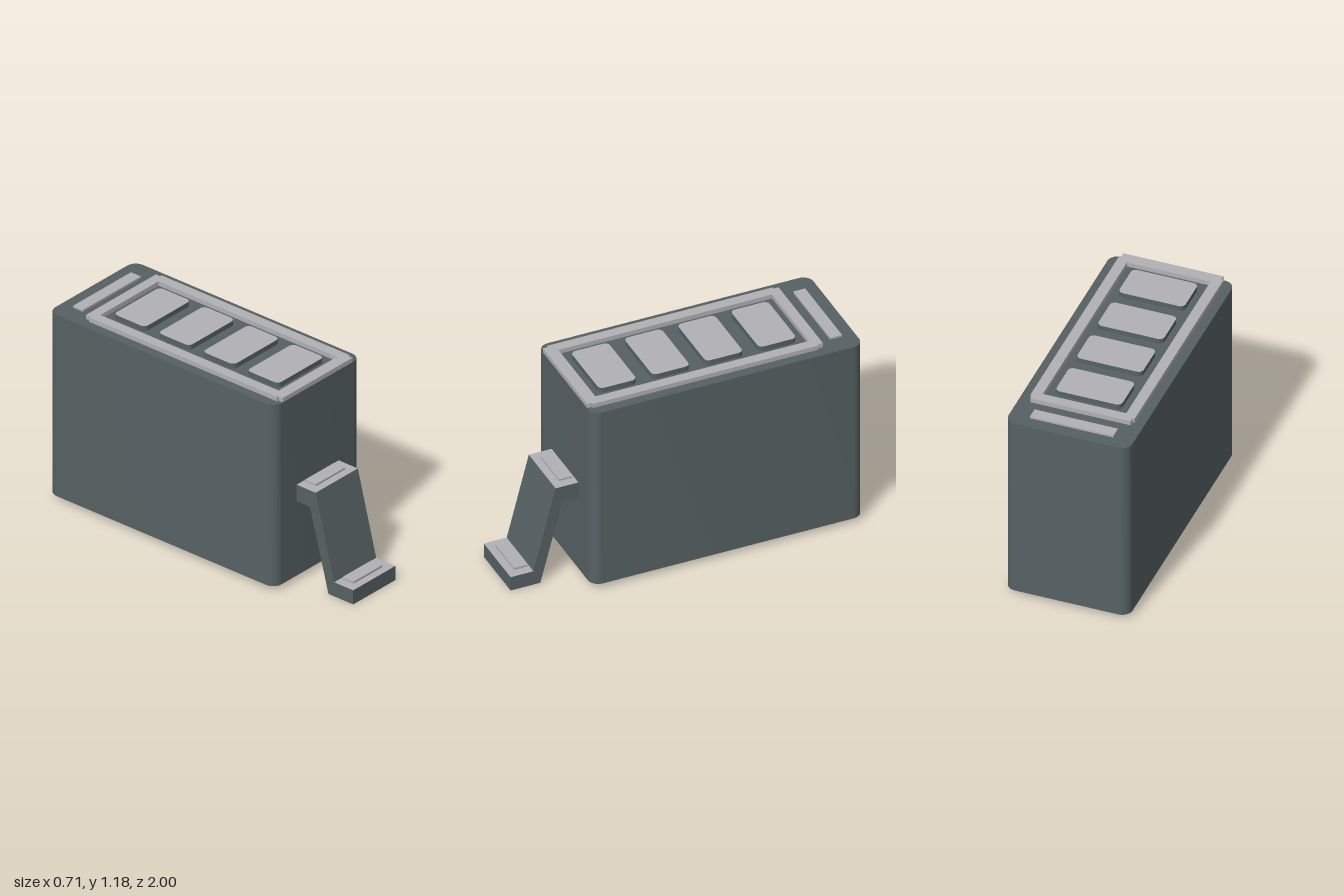
import * as THREE from 'three';
import { toCreasedNormals } from 'three/addons/utils/BufferGeometryUtils.js';

const casing = new THREE.MeshStandardMaterial({ name: 'dark slate', color: 0x566163 });
const metal = new THREE.MeshStandardMaterial({ name: 'light grey', color: 0xb1b1b5 });

// Rectangle outline in plan; its y axis becomes -z
function roundedRect(hw, z0, z1, r) {
  const s = new THREE.Shape(), b = -z1, t = -z0, q = Math.PI / 2;
  s.absarc(hw - r, t - r, r, 0, q);
  s.absarc(-hw + r, t - r, r, q, 2 * q);
  s.absarc(-hw + r, b + r, r, 2 * q, 3 * q);
  s.absarc(hw - r, b + r, r, 3 * q, 4 * q);
  s.closePath();
  return s;
}

// Upright slab between two heights
function slab(shape, y0, y1) {
  const g = new THREE.ExtrudeGeometry(shape, { depth: y1 - y0, bevelEnabled: false, curveSegments: 8 });
  g.rotateX(-Math.PI / 2).translate(0, y0, 0);
  return toCreasedNormals(g, 0.6);
}

// Level faces use material 1, all others material 0
function splitLevelFaces(g) {
  g.clearGroups();
  const n = g.attributes.normal;
  for (let i = 0; i < n.count; i += 3) g.addGroup(i, 3, Math.abs(n.getY(i)) > 0.9 ? 1 : 0);
  return g;
}

export function createModel() {
  const model = new THREE.Group();
  model.name = 'module';
  const add = (name, geometry, material) => {
    const m = new THREE.Mesh(geometry, material);
    m.name = name;
    model.add(m);
    return m;
  };
  const plate = (name, hw, z0, z1, y0, y1) => {
    const g = new THREE.BoxGeometry(hw * 2, y1 - y0, z1 - z0);
    add(name, g.translate(0, (y0 + y1) / 2, (z0 + z1) / 2), metal);
  };

  // Main casing with rounded upright edges
  add('body', slab(roundedRect(0.357, -1, 0.6, 0.06), 0.03, 1.15), casing);

  // Raised frame with slightly notched corners
  const a = 0.288, b = 0.3, f = -0.6, k = 0.79, d = 0.03;
  const rim = new THREE.Shape([
    [-a, f], [a, f], [a, f + d], [b, f + d], [b, k - d], [a, k - d],
    [a, k], [-a, k], [-a, k - d], [-b, k - d], [-b, f + d], [-a, f + d],
  ].map(([x, y]) => new THREE.Vector2(x, y)));
  rim.holes.push(new THREE.Path([
    [-0.24, -0.53], [-0.24, 0.73], [0.24, 0.73], [0.24, -0.53],
  ].map(([x, y]) => new THREE.Vector2(x, y))));
  add('topFrame', slab(rim, 1.15, 1.177), metal);

  // Four contact pads inside the frame
  for (let i = 0; i < 4; i++) {
    const z = -0.57 + i * 0.314;
    const g = splitLevelFaces(slab(roundedRect(0.19, z - 0.111, z + 0.111, 0.03), 1.15, 1.18));
    add('contactPad' + (i + 1), g, [casing, metal]);
  }

  plate('rearStrip', 0.24, -0.925, -0.855, 1.15, 1.161);

  // Stepped front bracket, profile in z and y
  const profile = new THREE.Shape([
    [1, 0], [1, 0.087], [0.865, 0.087], [0.735, 0.592],
    [0.6, 0.592], [0.6, 0.49], [0.695, 0.49], [0.825, 0],
  ].map(([z, y]) => new THREE.Vector2(-z, y)));
  const bracket = new THREE.ExtrudeGeometry(profile, { depth: 0.348, bevelEnabled: false });
  bracket.translate(0, 0, -0.174).rotateY(Math.PI / 2);
  add('bracket', splitLevelFaces(bracket), [casing, metal]);

  // Raised plates on the bracket steps
  plate('upperBracketPlate', 0.12, 0.612, 0.69, 0.592, 0.604);
  plate('lowerBracketPlate', 0.12, 0.877, 0.955, 0.087, 0.1);

  return model;
}
